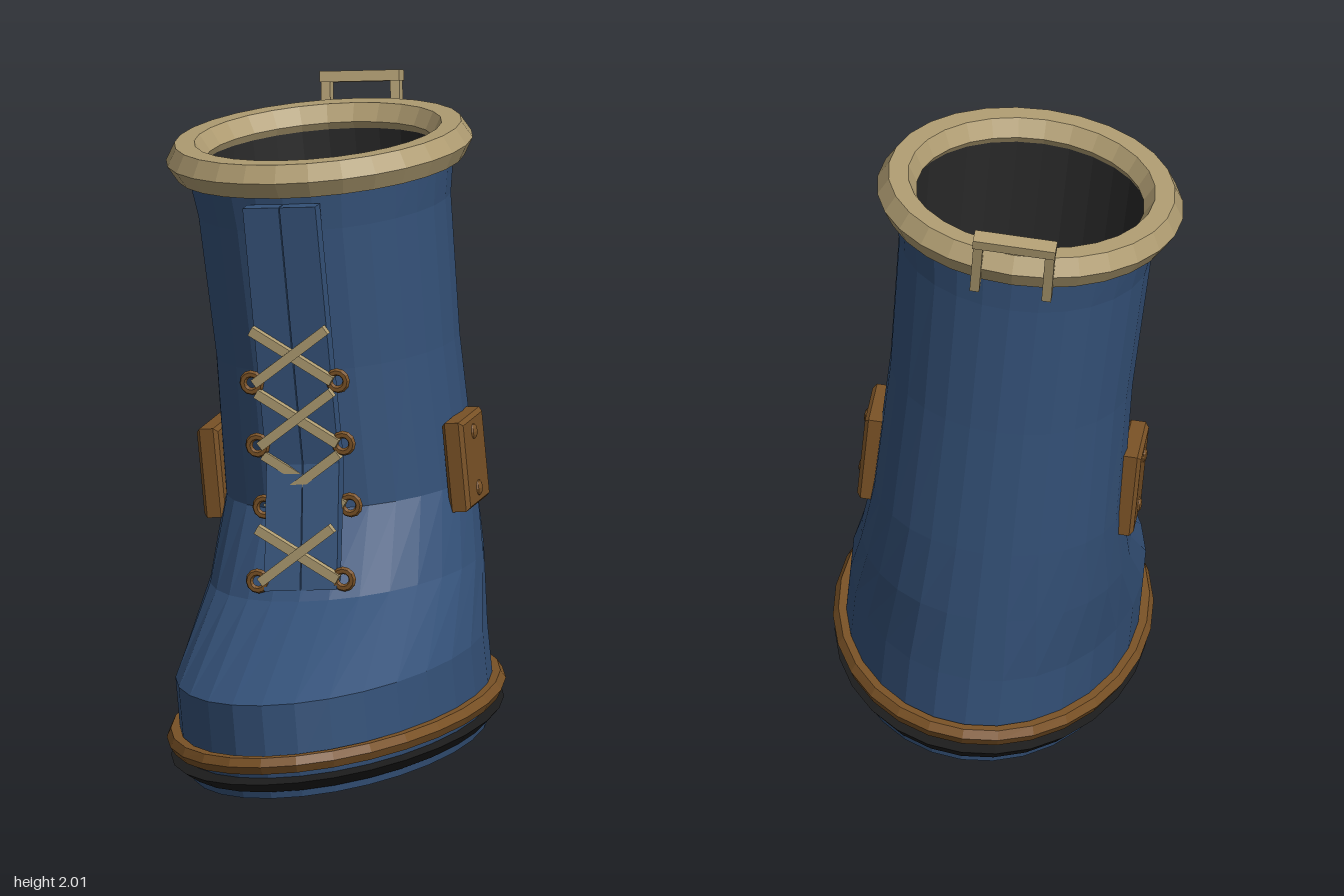
import * as THREE from 'three';

const mat = (name, color, extra = {}) => {
  const m = new THREE.MeshStandardMaterial({ color, flatShading: true, ...extra });
  m.name = name;
  return m;
};

// Closed loft through ellipses [y, centreZ, radiusX, radiusZ]
function loft(rings, n = 28) {
  const pos = [], idx = [];
  for (const [y, cz, a, b] of rings)
    for (let i = 0; i < n; i++) {
      const t = (i / n) * Math.PI * 2;
      pos.push(a * Math.sin(t), y, cz + b * Math.cos(t));
    }
  for (let r = 0; r < rings.length - 1; r++)
    for (let i = 0; i < n; i++) {
      const j = (i + 1) % n, p = r * n, q = p + n;
      idx.push(p + i, p + j, q + j, p + i, q + j, q + i);
    }
  const g = new THREE.BufferGeometry();
  g.setAttribute('position', new THREE.Float32BufferAttribute(pos, 3));
  g.setIndex(idx);
  g.computeVertexNormals();
  return g;
}

// Elliptical ring lying flat, built as a closed loft around its cross-section
function ellipseRing(y, cz, a, b, tube) {
  const rings = [];
  for (let k = 0; k <= 6; k++) {
    const t = (k / 6) * Math.PI * 2 - Math.PI;
    const d = tube * Math.cos(t);
    rings.push([y + tube * Math.sin(t), cz, a + d, b + d]);
  }
  return loft(rings);
}

export function createModel() {
  const blue = mat('blue leather', 0x345178);
  const brown = mat('brown trim', 0x7a5226);
  const cream = mat('cream cord', 0xb09d72);
  const black = mat('black rubber', 0x1c1c1c);
  const lining = mat('dark lining', 0x282828, { side: THREE.DoubleSide });

  const boot = new THREE.Group();
  boot.name = 'boot';
  const add = (name, geometry, material, x = 0, y = 0, z = 0, parent = boot) => {
    const m = new THREE.Mesh(geometry, material);
    m.name = name;
    m.position.set(x, y, z);
    parent.add(m);
    return m;
  };

  // Foot and shaft in one shell
  add('upper', loft([
    [0, 0, 0.001, 0.001], [0, 0, 0.43, 0.735], [0.1, 0, 0.455, 0.755], [0.3, 0, 0.455, 0.75],
    [0.52, -0.235, 0.42, 0.515], [0.76, -0.35, 0.39, 0.4], [1.2, -0.35, 0.38, 0.4],
    [1.65, -0.345, 0.395, 0.41], [1.8, -0.345, 0.42, 0.42],
  ]), blue);

  // Sole edge, tread and welt
  add('soleEdge', loft([
    [0.02, 0, 0.42, 0.73], [0.025, 0, 0.445, 0.755], [0.062, 0.01, 0.485, 0.805], [0.07, 0, 0.43, 0.73],
  ]), black);
  add('tread', loft([[-0.004, 0.06, 0.001, 0.001], [-0.004, 0.06, 0.27, 0.47], [0.004, 0.06, 0.27, 0.47]]), black);
  add('welt', ellipseRing(0.118, 0.005, 0.465, 0.782, 0.03), brown);

  // Collar and inside
  add('collar', ellipseRing(1.82, -0.345, 0.418, 0.418, 0.062), cream);
  add('liningWall', new THREE.CylinderGeometry(0.37, 0.33, 1.35, 28, 1, true), lining, 0, 1.135, -0.345);
  add('insole', new THREE.CircleGeometry(0.33, 28).rotateX(-Math.PI / 2), lining, 0, 0.462, -0.345);

  // Tongue flaps: side profile (z, y) extruded across the width
  const profile = new THREE.Shape([
    [0.065, 1.74], [0.115, 1.74], [0.115, 0.92], [0.255, 0.55], [0.215, 0.55], [0.065, 0.9],
  ].map(([z, y]) => new THREE.Vector2(-z, y)));
  for (const side of [-1, 1]) {
    const flap = new THREE.ExtrudeGeometry(profile, { depth: 0.117, bevelEnabled: false });
    flap.translate(0, 0, -0.0585).rotateY(Math.PI / 2);
    add(side > 0 ? 'leftFlap' : 'rightFlap', flap, blue, side * 0.06, 0, 0);
  }

  // Eyelets and crossed laces
  const rows = [[1.185, 0.118], [0.985, 0.118], [0.785, 0.105], [0.58, 0.24]];
  for (const [y, z] of rows) {
    for (const side of [-1, 1]) {
      add('eyelet', new THREE.TorusGeometry(0.028, 0.012, 6, 12), brown, side * 0.14, y, z);
      const lace = add('lace', new THREE.BoxGeometry(0.3, 0.03, 0.025), cream,
        0, y + 0.085, z + 0.014 + side * 0.006);
      lace.rotation.z = side * 0.59;
    }
  }

  // Riveted side plates
  const plate = new THREE.Shape();
  plate.moveTo(-0.1, -0.13).lineTo(0.1, -0.13).lineTo(0.1, 0.13).lineTo(-0.1, 0.13);
  const plateGeo = new THREE.ExtrudeGeometry(plate, {
    depth: 0.045, bevelSize: 0.012, bevelThickness: 0.012, bevelSegments: 1,
  }).translate(0, 0, -0.0225);
  for (const side of [-1, 1]) {
    const g = new THREE.Group();
    g.name = side > 0 ? 'leftPlate' : 'rightPlate';
    g.position.set(side * 0.4, 0.83, -0.29);
    g.rotation.y = side * Math.PI / 2;
    boot.add(g);
    add('plate', plateGeo, brown, 0, 0, 0, g);
    for (const y of [-0.09, 0.09]) {
      const rivet = add('rivet', new THREE.SphereGeometry(0.025, 10, 6), brown, 0, y, 0.033, g);
      rivet.scale.z = 0.5;
    }
  }

  // Pull loop at the back
  const loop = new THREE.Group();
  loop.name = 'pullLoop';
  loop.position.set(0, 1.83, -0.805);
  loop.rotation.x = -0.26;
  boot.add(loop);
  add('loopBar', new THREE.BoxGeometry(0.26, 0.034, 0.05), cream, 0, 0.108, 0, loop);
  for (const side of [-1, 1])
    add('loopPost', new THREE.BoxGeometry(0.03, 0.21, 0.034), cream, side * 0.113, 0, 0, loop);

  // The boot stands turned and leaning to one side
  boot.rotation.set(0, -0.14, 0.092, 'ZYX');
  boot.position.set(0.05, 0.045, 0.02);
  const model = new THREE.Group();
  model.name = 'leaningBoot';
  model.add(boot);
  return model;
}
